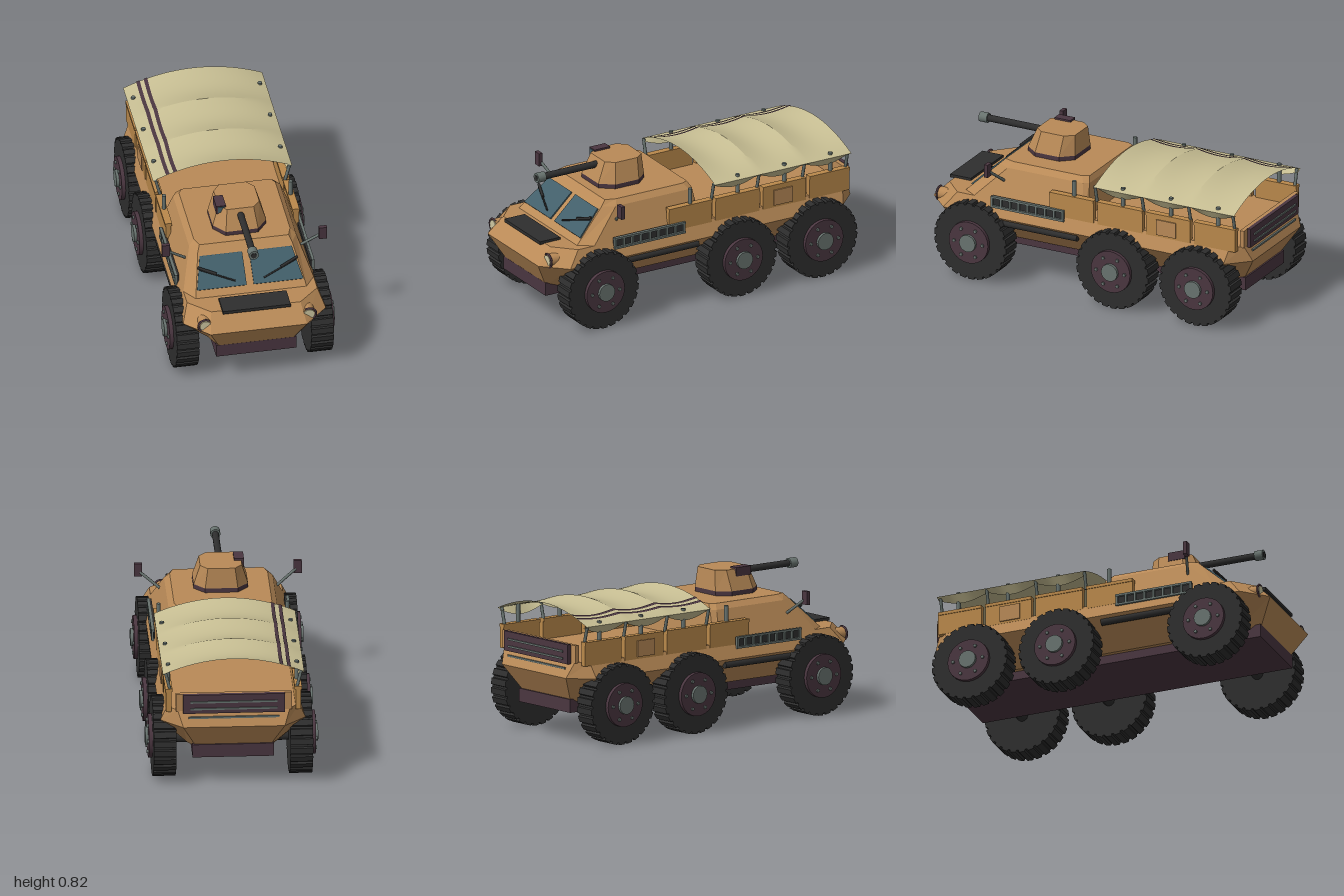
import * as THREE from 'three';
import { toCreasedNormals } from 'three/addons/utils/BufferGeometryUtils.js';

const mat = (name, color, side = THREE.FrontSide) => {
  const m = new THREE.MeshStandardMaterial({ color, side });
  m.name = name;
  return m;
};

// Octagonal solid stacked from levels [y, frontHalf, frontZ, sideX, frontCornerZ, rearCornerZ, rearHalf, rearZ]
function octagonLoft(levels) {
  const rings = levels.map(([y, hf, zf, xs, zc, zrc, hr, zr]) => [
    [hf, y, zf], [xs, y, zc], [xs, y, zrc], [hr, y, zr],
    [-hr, y, zr], [-xs, y, zrc], [-xs, y, zc], [-hf, y, zf]]);
  const p = [];
  const top = rings[rings.length - 1], bottom = rings[0];
  for (let r = 0; r < rings.length - 1; r++) {
    for (let i = 0; i < 8; i++) {
      const j = (i + 1) % 8, lo = rings[r], hi = rings[r + 1];
      p.push(...lo[i], ...lo[j], ...hi[j], ...lo[i], ...hi[j], ...hi[i]);
    }
  }
  for (let i = 1; i < 7; i++) {
    p.push(...top[0], ...top[i], ...top[i + 1]);
    p.push(...bottom[0], ...bottom[i + 1], ...bottom[i]);
  }
  const g = new THREE.BufferGeometry();
  g.setAttribute('position', new THREE.Float32BufferAttribute(p, 3));
  g.computeVertexNormals();
  return g;
}

export function createModel() {
  const model = new THREE.Group();
  model.name = 'armouredTruck';
  const tan = mat('hullTan', 0xb98a57);
  const ochre = mat('panelOchre', 0xba894b);
  const maroon = mat('maroon', 0x4a3640);
  const black = mat('rubberBlack', 0x2e2e2e);
  const grey = mat('steelGrey', 0x68736f);
  const glass = mat('glass', 0x425f6a);
  const cream = mat('lampCream', 0xcfc8a2);
  const canvas = mat('canvas', 0xc6bd92, THREE.DoubleSide);

  const add = (name, geo, m, x = 0, y = 0, z = 0, parent = model) => {
    const mesh = new THREE.Mesh(geo, m);
    mesh.name = name;
    mesh.position.set(x, y, z);
    parent.add(mesh);
    return mesh;
  };
  const box = (name, m, w, h, d, x, y, z, parent) =>
    add(name, new THREE.BoxGeometry(w, h, d), m, x, y, z, parent);
  const rod = (name, m, a, b, r, parent, sides = 10) => {
    const A = new THREE.Vector3(...a), B = new THREE.Vector3(...b), d = B.clone().sub(A);
    const mesh = add(name, new THREE.CylinderGeometry(r, r, d.length(), sides), m, 0, 0, 0, parent);
    mesh.position.copy(A).add(B).multiplyScalar(0.5);
    mesh.quaternion.setFromUnitVectors(new THREE.Vector3(0, 1, 0), d.normalize());
    return mesh;
  };

  // Hull, cab and chassis
  add('hull', octagonLoft([
    [0.22, 0.2, 0.91, 0.25, 0.8, -0.82, 0.2, -0.9],
    [0.38, 0.27, 1, 0.4, 0.87, -0.88, 0.28, -1],
    [0.47, 0.25, 0.91, 0.365, 0.8, -0.9, 0.31, -0.96]]), tan);
  add('cab', octagonLoft([
    [0.465, 0.312, 0.78, 0.367, 0.7, 0.02, 0.34, 0],
    [0.645, 0.265, 0.59, 0.3, 0.52, 0.05, 0.28, 0.02],
    [0.675, 0.25, 0.56, 0.27, 0.5, 0.07, 0.25, 0.035]]), tan);
  box('chassis', maroon, 0.45, 0.075, 1.85, 0, 0.208, 0);
  box('hoodGrille', black, 0.38, 0.018, 0.13, 0, 0.475, 0.875);

  // Windshield panes and wipers, laid on the sloping cab front
  const windshield = new THREE.Group();
  windshield.name = 'windshield';
  windshield.position.set(0, 0.47, 0.775);
  windshield.rotation.x = -0.813;
  model.add(windshield);
  for (const s of [-1, 1]) {
    const pane = new THREE.Shape([[0.02, 0.044], [0.298, 0.044], [0.258, 0.233], [0.02, 0.233]]
      .map(([x, y]) => new THREE.Vector2(s * x, y)));
    add('windowPane', new THREE.ExtrudeGeometry(pane, { depth: 0.008, bevelEnabled: false }), glass, 0, 0, 0, windshield);
    rod('wiperArm', black, [s * 0.28, 0.168, 0.018], [s * 0.18, 0.122, 0.018], 0.008, windshield, 6);
    rod('wiperBlade', black, [s * 0.27, 0.156, 0.013], [s * 0.08, 0.073, 0.013], 0.005, windshield, 6);
  }

  // Turret with gun and sight
  add('turretRing', octagonLoft([
    [0.67, 0.09, 0.505, 0.15, 0.43, 0.28, 0.09, 0.212],
    [0.7, 0.09, 0.505, 0.15, 0.43, 0.28, 0.09, 0.212]]), maroon);
  add('turret', octagonLoft([
    [0.7, 0.09, 0.505, 0.15, 0.43, 0.28, 0.09, 0.212],
    [0.815, 0.075, 0.455, 0.115, 0.41, 0.27, 0.075, 0.22]]), tan);
  rod('gunBarrel', black, [0, 0.777, 0.42], [0, 0.777, 0.82], 0.019, model, 16);
  rod('muzzle', grey, [0, 0.777, 0.8], [0, 0.777, 0.85], 0.028, model, 16);
  rod('muzzleBore', black, [0, 0.777, 0.845], [0, 0.777, 0.853], 0.016, model, 16);
  box('sight', maroon, 0.055, 0.05, 0.1, -0.103, 0.8, 0.38);
  box('sightLens', glass, 0.035, 0.035, 0.006, -0.103, 0.802, 0.432);

  // Wheels
  const outline = [];
  const teeth = 26;
  for (let i = 0; i < teeth; i++) {
    for (const [f, r] of [[0, 0.213], [0.22, 0.213], [0.3, 0.225], [0.92, 0.225]]) {
      const a = (i + f) / teeth * Math.PI * 2;
      outline.push(new THREE.Vector2(Math.cos(a) * r, Math.sin(a) * r));
    }
  }
  const tyre = new THREE.ExtrudeGeometry(new THREE.Shape(outline), { depth: 0.125, bevelEnabled: false });
  tyre.translate(0, 0, -0.0625).rotateY(Math.PI / 2);
  for (const z of [0.68, -0.207, -0.725]) {
    rod('axle', black, [-0.34, 0.215, z], [0.34, 0.215, z], 0.032);
    for (const s of [-1, 1]) {
      const wheel = new THREE.Group();
      wheel.name = 'wheel';
      wheel.position.set(s * 0.377, 0.225, z);
      model.add(wheel);
      add('tyre', tyre, black, 0, 0, 0, wheel);
      rod('rim', maroon, [s * 0.05, 0, 0], [s * 0.084, 0, 0], 0.122, wheel, 28);
      rod('hub', grey, [s * 0.08, 0, 0], [s * 0.1, 0, 0], 0.05, wheel, 16);
      for (let i = 0; i < 6; i++) {
        const a = (i + 0.5) / 6 * Math.PI * 2, y = Math.cos(a) * 0.088, bz = Math.sin(a) * 0.088;
        rod('wheelBolt', grey, [s * 0.08, y, bz], [s * 0.093, y, bz], 0.01, wheel, 6);
      }
    }
  }

  // Canopy: arched across, sagging between bows
  const front = -0.065, bay = 0.292, length = bay * 3;
  const sag = z => Math.abs(Math.sin((z - front) / bay * Math.PI));
  const roofY = (x, z) => 0.675 + (0.085 - 0.03 * sag(z)) * (1 - (x / 0.39) ** 2);
  const sheet = (name, m, width, x0, lift) => {
    const g = new THREE.PlaneGeometry(width, length, width > 0.1 ? 24 : 1, 36);
    g.rotateX(-Math.PI / 2).translate(x0, 0, front - length / 2);
    const p = g.attributes.position;
    for (let i = 0; i < p.count; i++) p.setY(i, roofY(p.getX(i), p.getZ(i)) + lift);
    add(name, toCreasedNormals(g, 0.4), m);
  };
  sheet('canopy', canvas, 0.78, 0, 0);
  for (const x of [-0.307, -0.265]) sheet('canopyStripe', maroon, 0.02, x, 0.004);

  for (const s of [-1, 1]) {
    // Scalloped canopy edge
    const flap = new THREE.PlaneGeometry(1, length, 1, 36);
    flap.rotateX(-Math.PI / 2).translate(0, 0, front - length / 2);
    const p = flap.attributes.position;
    for (let i = 0; i < p.count; i++) {
      const inner = p.getX(i) < 0, drop = inner ? 0.012 + 0.036 * sag(p.getZ(i)) : 0;
      p.setXYZ(i, s * (inner ? 0.36 : 0.39), 0.675 - drop, p.getZ(i));
    }
    if (s < 0) flap.index.array.reverse();
    flap.computeVertexNormals();
    add('canopyFlap', flap, canvas);

    // Posts and canopy struts
    for (const z of [0.075, -0.23, -0.53, -0.825]) {
      rod('post', grey, [s * 0.355, 0.57, z], [s * 0.355, z > 0 ? 0.675 : roofY(0.355, z) + 0.01, z], 0.012);
    }
    for (let i = 0; i < 4; i++) {
      const z = Math.max(front - bay * i, -0.925);
      rod('canopyStrut', grey, [s * 0.35, 0.58, z], [s * 0.375, 0.678, z], 0.009);
    }

    // Bed side panels with top rails
    for (const [z0, z1] of [[0.22, -0.055], [-0.078, -0.36], [-0.383, -0.658], [-0.682, -0.94]]) {
      const d = z0 - z1, z = (z0 + z1) / 2;
      box('bedPanel', ochre, 0.03, 0.125, d, s * 0.358, 0.515, z);
      box('bedRail', ochre, 0.04, 0.018, d, s * 0.357, 0.578, z);
    }
    box('accessPlate', tan, 0.008, 0.09, 0.12, s * 0.376, 0.51, -0.51);

    // Side rack
    for (const y of [0.437, 0.492]) box('rackRail', grey, 0.014, 0.012, 0.455, s * 0.385, y, 0.352);
    for (let i = 0; i < 9; i++) box('rackRung', grey, 0.012, 0.06, 0.012, s * 0.385, 0.465, 0.132 + i * 0.055);
    box('rackBacking', black, 0.012, 0.06, 0.45, s * 0.372, 0.465, 0.352);
    rod('exhaustPipe', black, [s * 0.38, 0.348, 0.04], [s * 0.38, 0.348, 0.5], 0.019);

    // Mirrors
    rod('mirrorArm', grey, [s * 0.32, 0.575, 0.53], [s * 0.43, 0.66, 0.565], 0.008);
    box('mirror', maroon, 0.045, 0.075, 0.022, s * 0.44, 0.673, 0.57);

    // Headlights with guards
    rod('lampBody', tan, [s * 0.29, 0.41, 0.85], [s * 0.29, 0.41, 0.95], 0.036, model, 16);
    rod('lampLens', cream, [s * 0.29, 0.41, 0.95], [s * 0.29, 0.41, 0.956], 0.031, model, 16);
    const guard = add('lampGuard', new THREE.TorusGeometry(0.038, 0.006, 6, 16, Math.PI * 1.2), maroon, s * 0.292, 0.41, 0.95);
    guard.rotation.z = s > 0 ? -Math.PI / 2 : Math.PI * 0.3;
  }

  // Tailgate
  box('tailgate', tan, 0.64, 0.1, 0.025, 0, 0.515, -0.953);
  box('tailPanel', maroon, 0.56, 0.11, 0.022, 0, 0.512, -0.976);
  for (const y of [0.485, 0.525]) box('tailBar', grey, 0.48, 0.01, 0.008, 0, y, -0.99);
  box('rearStrip', grey, 0.5, 0.01, 0.012, 0, 0.43, -0.98);
  return model;
}
